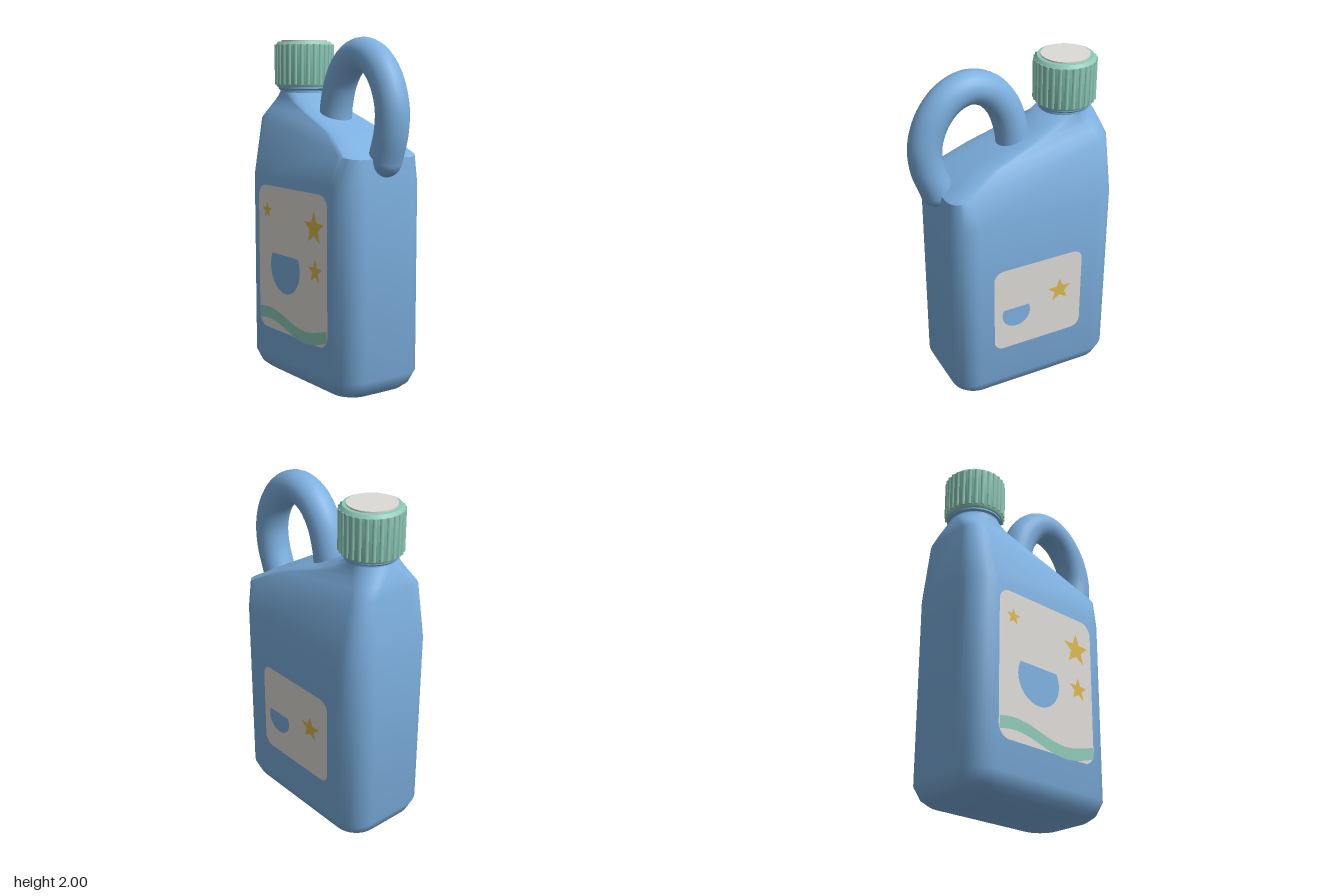
import * as THREE from 'three';
import { toCreasedNormals } from 'three/addons/utils/BufferGeometryUtils.js';

const mat = (name, color) => {
  const m = new THREE.MeshStandardMaterial({ color });
  m.name = name;
  return m;
};

// Loft of rounded rectangles; each ring may tilt and narrow along x
function loft(rings, steps = 8) {
  const pos = [], idx = [], n = 4 * (steps + 1);
  for (const { l, r, yl, yr, zl, zr = zl, c } of rings) {
    for (let q = 0; q < 4; q++) {
      for (let s = 0; s <= steps; s++) {
        const a = (q + s / steps) * Math.PI / 2;
        const right = q === 0 || q === 3, front = q > 1;
        const x = (right ? r - c : l + c) + c * Math.cos(a);
        const t = (x - l) / (r - l);
        const hz = zl + (zr - zl) * t;
        const z = (front ? 1 : -1) * (hz - c) - c * Math.sin(a);
        pos.push(x, yl + (yr - yl) * t, z);
      }
    }
  }
  for (let i = 0; i < rings.length - 1; i++) {
    for (let j = 0; j < n; j++) {
      const a = i * n + j, b = i * n + (j + 1) % n;
      idx.push(a, b, b + n, a, b + n, a + n);
    }
  }
  // end caps
  const last = (rings.length - 1) * n;
  [[rings[0], 0, true], [rings[rings.length - 1], last, false]].forEach(([g, start, down]) => {
    const centre = pos.length / 3;
    pos.push((g.l + g.r) / 2, (g.yl + g.yr) / 2, 0);
    for (let j = 0; j < n; j++) {
      const a = start + j, b = start + (j + 1) % n;
      idx.push(centre, down ? b : a, down ? a : b);
    }
  });
  const geo = new THREE.BufferGeometry();
  geo.setAttribute('position', new THREE.Float32BufferAttribute(pos, 3));
  geo.setIndex(idx);
  return toCreasedNormals(geo, 0.85);
}

function roundedRect(w, h, r) {
  const s = new THREE.Shape(), x = w / 2 - r, y = h / 2 - r;
  s.absarc(x, y, r, 0, Math.PI / 2);
  s.absarc(-x, y, r, Math.PI / 2, Math.PI);
  s.absarc(-x, -y, r, Math.PI, Math.PI * 1.5);
  s.absarc(x, -y, r, Math.PI * 1.5, Math.PI * 2);
  return s;
}

// Teardrop centred on its round part, with straight tangents to the tip
function drop(r, tip) {
  const a = Math.acos(r / tip), s = new THREE.Shape();
  s.moveTo(0, tip);
  s.absarc(0, 0, r, Math.PI / 2 + a, Math.PI * 2.5 - a);
  s.closePath();
  return s;
}

function star(R) {
  const pts = [];
  for (let i = 0; i < 10; i++) {
    const a = Math.PI / 2 + i * Math.PI / 5, r = i % 2 ? R * 0.42 : R;
    pts.push(new THREE.Vector2(r * Math.cos(a), r * Math.sin(a)));
  }
  return new THREE.Shape(pts);
}

function wave(x0, x1, half) {
  const top = [], bottom = [];
  for (let i = 0; i <= 24; i++) {
    const x = x0 + (x1 - x0) * i / 24;
    const y = 0.335 + 0.035 * Math.cos((x + 0.31) * Math.PI / 0.37);
    top.unshift(new THREE.Vector2(x, y + half));
    bottom.push(new THREE.Vector2(x, y - half));
  }
  return new THREE.Shape([...bottom, ...top]);
}

export function createModel() {
  const root = new THREE.Group();
  root.name = 'detergentBottle';
  const blue = mat('bottleBlue', 0x7db0e0);
  const green = mat('capGreen', 0x8ecab9);
  const pale = mat('labelPale', 0xdedbd7);
  const gold = mat('starGold', 0xdcb94c);

  const add = (parent, name, geo, material, x = 0, y = 0, z = 0) => {
    const m = new THREE.Mesh(geo, material);
    m.name = name;
    m.position.set(x, y, z);
    parent.add(m);
    return m;
  };

  // Bottle body: straight walls, then shoulders sloping up to the neck
  const flat = (y, inset) => ({
    l: -0.585 + inset, r: 0.45 - inset, yl: y, yr: y, zl: 0.29 - inset, c: 0.15 - inset * 0.4,
  });
  add(root, 'body', loft([
    flat(0, 0.065), flat(0.03, 0.03), flat(0.1, 0), flat(1.19, 0),
    { l: -0.56, r: 0.437, yl: 1.54, yr: 1.34, zl: 0.225, zr: 0.255, c: 0.1 },
    { l: -0.545, r: 0.24, yl: 1.6, yr: 1.46, zl: 0.185, zr: 0.195, c: 0.11 },
    { l: -0.53, r: 0.0, yl: 1.645, yr: 1.55, zl: 0.16, zr: 0.17, c: 0.125 },
    { l: -0.52, r: -0.14, yl: 1.67, yr: 1.61, zl: 0.15, c: 0.135 },
    { l: -0.512, r: -0.222, yl: 1.69, yr: 1.68, zl: 0.145, c: 0.145 },
  ]), blue);

  // Neck with a small collar
  const capX = -0.367;
  const lathe = pts => toCreasedNormals(
    new THREE.LatheGeometry(pts.map(p => new THREE.Vector2(...p)), 48), 0.6);
  add(root, 'neck', lathe([[0.145, 1.66], [0.145, 1.695], [0.155, 1.705], [0.155, 1.73], [0, 1.73]]), blue, capX);

  // Ribbed screw cap
  const cap = new THREE.Group();
  cap.name = 'cap';
  cap.position.x = capX;
  root.add(cap);
  add(cap, 'capShell', lathe([
    [0, 1.715], [0.163, 1.715], [0.172, 1.73], [0.172, 1.963], [0.157, 1.982], [0, 1.982],
  ]), green);
  const ribGeo = new THREE.CylinderGeometry(0.012, 0.012, 0.235, 8);
  for (let i = 0; i < 28; i++) {
    const a = i / 28 * Math.PI * 2;
    add(cap, 'capRib', ribGeo, green, 0.167 * Math.cos(a), 1.847, 0.167 * Math.sin(a));
  }
  add(cap, 'capDisc', new THREE.CylinderGeometry(0.137, 0.137, 0.009, 48), pale, 0, 1.986, 0);

  // Looped handle with a rounded lower end
  const path = new THREE.CatmullRomCurve3([
    [-0.045, 1.48], [-0.03, 1.62], [0.02, 1.765], [0.11, 1.868], [0.22, 1.905],
    [0.335, 1.868], [0.43, 1.765], [0.482, 1.62], [0.475, 1.48], [0.425, 1.33],
  ].map(([x, y]) => new THREE.Vector3(x, y, 0)));
  add(root, 'handle', new THREE.TubeGeometry(path, 48, 0.095, 24), blue);
  add(root, 'handleEnd', new THREE.SphereGeometry(0.095, 24, 16), blue, 0.425, 1.33, 0);

  // Flat label artwork, stacked in thin layers
  const plate = (parent, name, shape, material, x, y, z) =>
    add(parent, name, new THREE.ShapeGeometry(shape, 24), material, x, y, z);

  const front = new THREE.Group();
  front.name = 'frontLabel';
  front.position.z = 0.293;
  root.add(front);
  plate(front, 'labelPanel', roundedRect(0.715, 0.865, 0.075), pale, -0.067, 0.708, 0);
  plate(front, 'labelDrop', drop(0.155, 0.33), blue, -0.135, 0.67, 0.003);
  plate(front, 'labelWave', wave(-0.42, 0.285, 0.035), green, 0, 0, 0.003);
  [[0.165, 0.945, 0.1], [0.175, 0.7, 0.072], [-0.325, 0.99, 0.052]].forEach(([x, y, r]) =>
    plate(front, 'labelStar', star(r), gold, x, y, 0.003));

  const back = new THREE.Group();
  back.name = 'backLabel';
  back.position.set(-0.067, 0.605, -0.293);
  back.rotation.y = Math.PI;
  root.add(back);
  plate(back, 'labelPanel', roundedRect(0.57, 0.55, 0.06), pale, 0, 0, 0);
  plate(back, 'labelDrop', drop(0.09, 0.205), blue, -0.145, -0.04, 0.003);
  plate(back, 'labelStar', star(0.08), gold, 0.14, 0.035, 0.003);

  return root;
}
